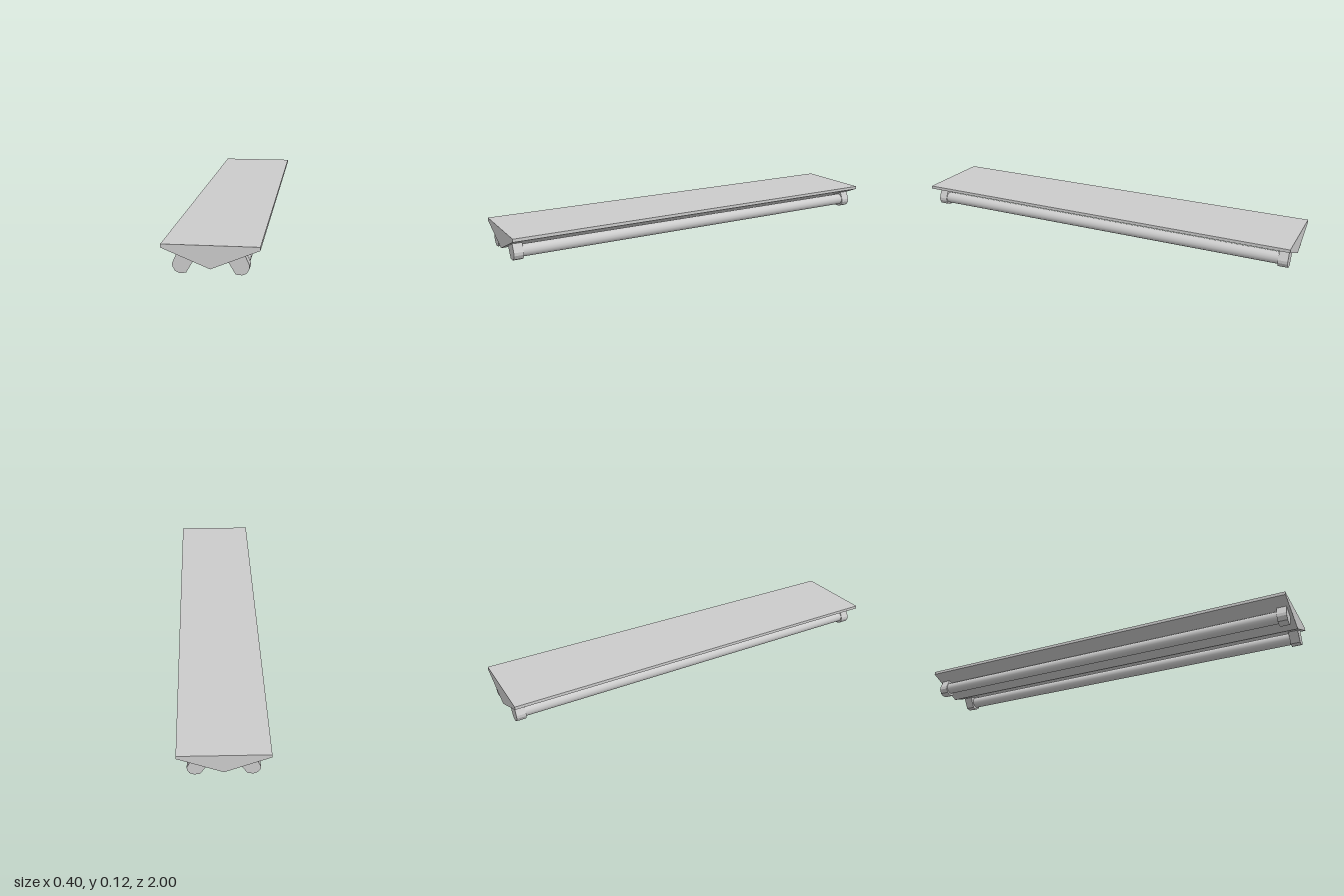
import * as THREE from 'three';

const material = new THREE.MeshStandardMaterial({ color: 0xcccccc });

// Extrude an x-y outline along z, centred on zMid
function prism(name, points, length, zMid) {
  const shape = new THREE.Shape(points.map(([x, y]) => new THREE.Vector2(x, y)));
  const geometry = new THREE.ExtrudeGeometry(shape, { depth: length, bevelEnabled: false });
  geometry.translate(0, 0, zMid - length / 2);
  const mesh = new THREE.Mesh(geometry, material);
  mesh.name = name;
  return mesh;
}

export function createModel() {
  const model = new THREE.Group();
  model.name = 'stripLight';

  // Shallow V-shaped housing with a flat top
  model.add(prism('housing',
    [[-0.2, 0.123], [-0.2, 0.108], [0, 0.025], [0.2, 0.108], [0.2, 0.123]], 2, 0));

  // Lamp holder outline, standing off the sloping underside
  const holder = [[0.07, 0.054], [0.1, 0.003], [0.111, 0.001], [0.127, 0],
    [0.145, 0.008], [0.156, 0.028], [0.156, 0.042], [0.138, 0.082]];

  for (const [side, s] of [['left', 1], ['right', -1]]) {
    const outline = holder.map(([x, y]) => [s * x, y]);
    for (const [end, z] of [['Front', 0.963], ['Back', -0.963]]) {
      model.add(prism(side + end + 'Holder', outline, 0.046, z));
    }

    // Lamp tube running between the two holders
    const tube = new THREE.Mesh(new THREE.CylinderGeometry(0.029, 0.029, 1.9, 16), material);
    tube.name = side + 'Tube';
    tube.rotation.x = Math.PI / 2;
    tube.position.set(s * 0.122, 0.04, 0);
    model.add(tube);
  }
  return model;
}
